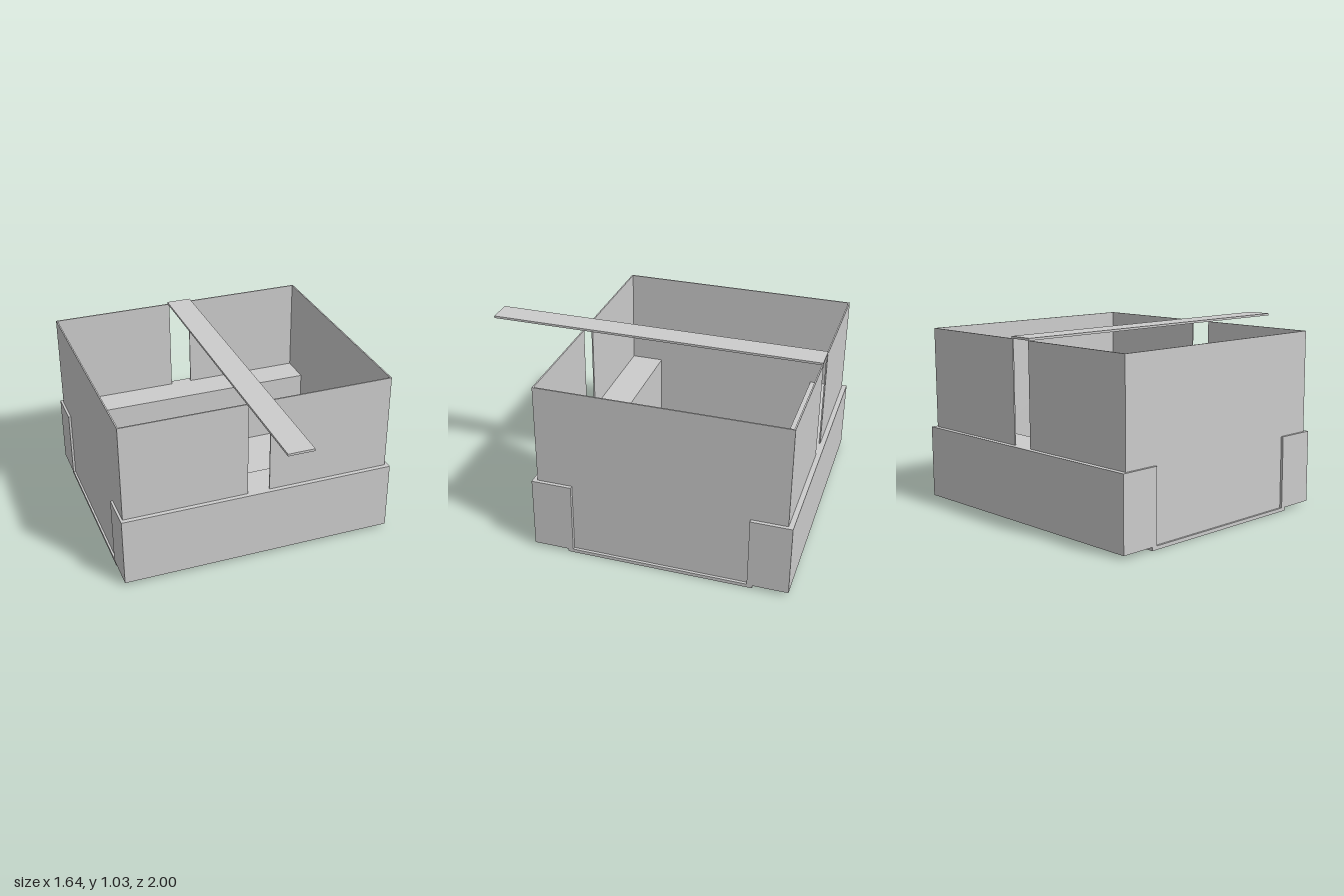
import * as THREE from 'three';

const material = new THREE.MeshStandardMaterial({ color: 0xcccccc, flatShading: true });

// Box given by its lower and upper limits on each axis
function slab(name, [x0, x1], [y0, y1], [z0, z1]) {
  const geometry = new THREE.BoxGeometry(x1 - x0, y1 - y0, z1 - z0);
  geometry.translate((x0 + x1) / 2, (y0 + y1) / 2, (z0 + z1) / 2);
  const mesh = new THREE.Mesh(geometry, material);
  mesh.name = name;
  return mesh;
}

export function createModel() {
  const model = new THREE.Group();
  model.name = 'openBox';

  const t = 0.008; // wall thickness
  const wallX = [-0.808, 0.797], wallZ = [-0.972, 0.438];
  const slot = [-0.07, 0.062];
  const floorY = 0.02, ledgeY = 0.434, topY = 1.015;

  // Floor plate, tucked under both ledges
  model.add(slab('floor', [-0.82, 0.814], [0, floorY], [-0.8, 0.265]));

  // Solid ledges along the front and back
  model.add(slab('frontLedge', [-0.822, 0.818], [floorY, ledgeY], [0.235, 0.465]));
  model.add(slab('backLedge', [-0.822, 0.818], [floorY, ledgeY], [-1, -0.77]));

  // Thin side walls
  model.add(slab('rightWall', [wallX[0], wallX[0] + t], [floorY, topY], wallZ));
  model.add(slab('leftWall', [wallX[1] - t, wallX[1]], [floorY, topY], wallZ));

  // Front and back walls, each split by a central slot
  const ends = { front: [wallZ[1] - t, wallZ[1]], back: [wallZ[0], wallZ[0] + t] };
  for (const [end, z] of Object.entries(ends)) {
    model.add(slab(end + 'RightPanel', [wallX[0] + t, slot[0]], [ledgeY, topY], z));
    model.add(slab(end + 'LeftPanel', [slot[1], wallX[1] - t], [ledgeY, topY], z));
  }

  // Long plank lying across the top, overhanging the front
  model.add(slab('plank', [-0.08, 0.07], [topY, 1.028], [-0.972, 1]));

  return model;
}
